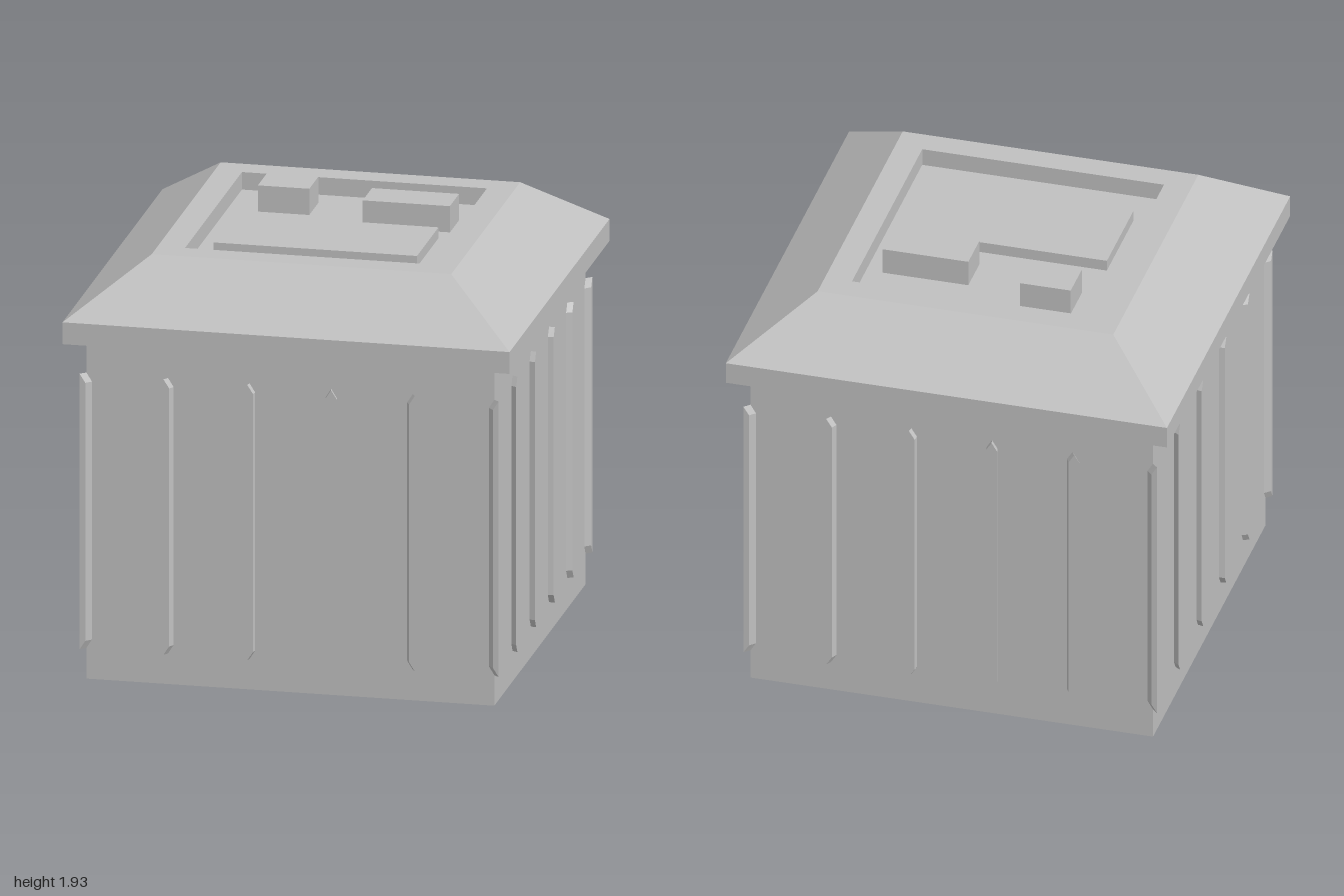
import * as THREE from 'three';

const HALF = 0.9125;      // half width of the body
const RIB_DEPTH = 0.025;
const RIB_HALF = 0.025;   // half width of a rib

// Flat-faced skin through rectangular rings [halfX, halfZ, y], with optional end caps
function loftRings(rings, capStart, capEnd) {
  const corners = rings.map(([x, z, y]) => [[-x, y, z], [x, y, z], [x, y, -z], [-x, y, -z]]);
  const pos = [];
  const quad = (a, b, c, d) => pos.push(...a, ...b, ...c, ...a, ...c, ...d);
  for (let i = 0; i < corners.length - 1; i++) {
    const lo = corners[i], hi = corners[i + 1];
    for (let k = 0; k < 4; k++) {
      const n = (k + 1) % 4;
      quad(lo[k], lo[n], hi[n], hi[k]);
    }
  }
  if (capStart) quad(...corners[0].slice().reverse());
  if (capEnd) quad(...corners[corners.length - 1]);
  const geo = new THREE.BufferGeometry();
  geo.setAttribute('position', new THREE.Float32BufferAttribute(pos, 3));
  geo.computeVertexNormals();
  return geo;
}

// Pointed rib on the front face, splaying away from the body's centre line.
// left and right are the half widths, so a corner rib can be folded in two halves.
function ribGeometry(x, left, right) {
  const pts = [[x, 0.14]];
  if (right) pts.push([x + right, 0.18], [x + right, 1.36]);
  pts.push([x, 1.4]);
  if (left) pts.push([x - left, 1.36], [x - left, 0.18]);
  const shape = new THREE.Shape(pts.map(p => new THREE.Vector2(...p)));
  const geo = new THREE.ExtrudeGeometry(shape, { depth: RIB_DEPTH, bevelEnabled: false });
  const p = geo.attributes.position;
  for (let i = 0; i < p.count; i++) p.setX(i, p.getX(i) * (1 + p.getZ(i) / HALF));
  geo.translate(0, 0, HALF);
  geo.computeVertexNormals();
  return geo;
}

export function createModel() {
  const model = new THREE.Group();
  model.name = 'ribbedBlock';
  const grey = new THREE.MeshStandardMaterial({ color: 0xc0c0c0 });
  grey.name = 'grey';

  const add = (name, geo, parent = model) => {
    const mesh = new THREE.Mesh(geo, grey);
    mesh.name = name;
    parent.add(mesh);
    return mesh;
  };

  // Body
  add('body', loftRings([[HALF, HALF, 0], [HALF, HALF, 1.535]], true, false));

  // Overhanging roof with sloped sides and a sunken top
  add('roof', loftRings([
    [HALF, HALF, 1.535], [1, 1, 1.55], [1, 1, 1.65],
    [0.67, 0.69, 1.89], [0.548, 0.57, 1.89], [0.548, 0.57, 1.81],
  ], false, true));

  // Blocks in the sunken top: x0, x1, z0, z1, top
  const blocks = {
    smallVent: [-0.41, -0.18, -0.45, -0.27, 1.93],
    wideVent: [0.085, 0.475, -0.34, -0.155, 1.93],
    lowPlatform: [-0.465, 0.445, -0.06, 0.37, 1.86],
  };
  for (const [name, [x0, x1, z0, z1, top]] of Object.entries(blocks)) {
    const h = top - 1.81;
    add(name, new THREE.BoxGeometry(x1 - x0, h, z1 - z0))
      .position.set((x0 + x1) / 2, 1.81 + h / 2, (z0 + z1) / 2);
  }

  // Six ribs on each side; the end ones wrap around the corners
  for (let side = 0; side < 4; side++) {
    const wall = new THREE.Group();
    wall.name = 'wallRibs' + (side + 1);
    wall.rotation.y = side * Math.PI / 2;
    for (let i = 0; i < 6; i++) {
      const x = HALF * (i / 2.5 - 1);
      add('rib', ribGeometry(x, i === 0 ? 0 : RIB_HALF, i === 5 ? 0 : RIB_HALF), wall);
    }
    model.add(wall);
  }
  return model;
}
